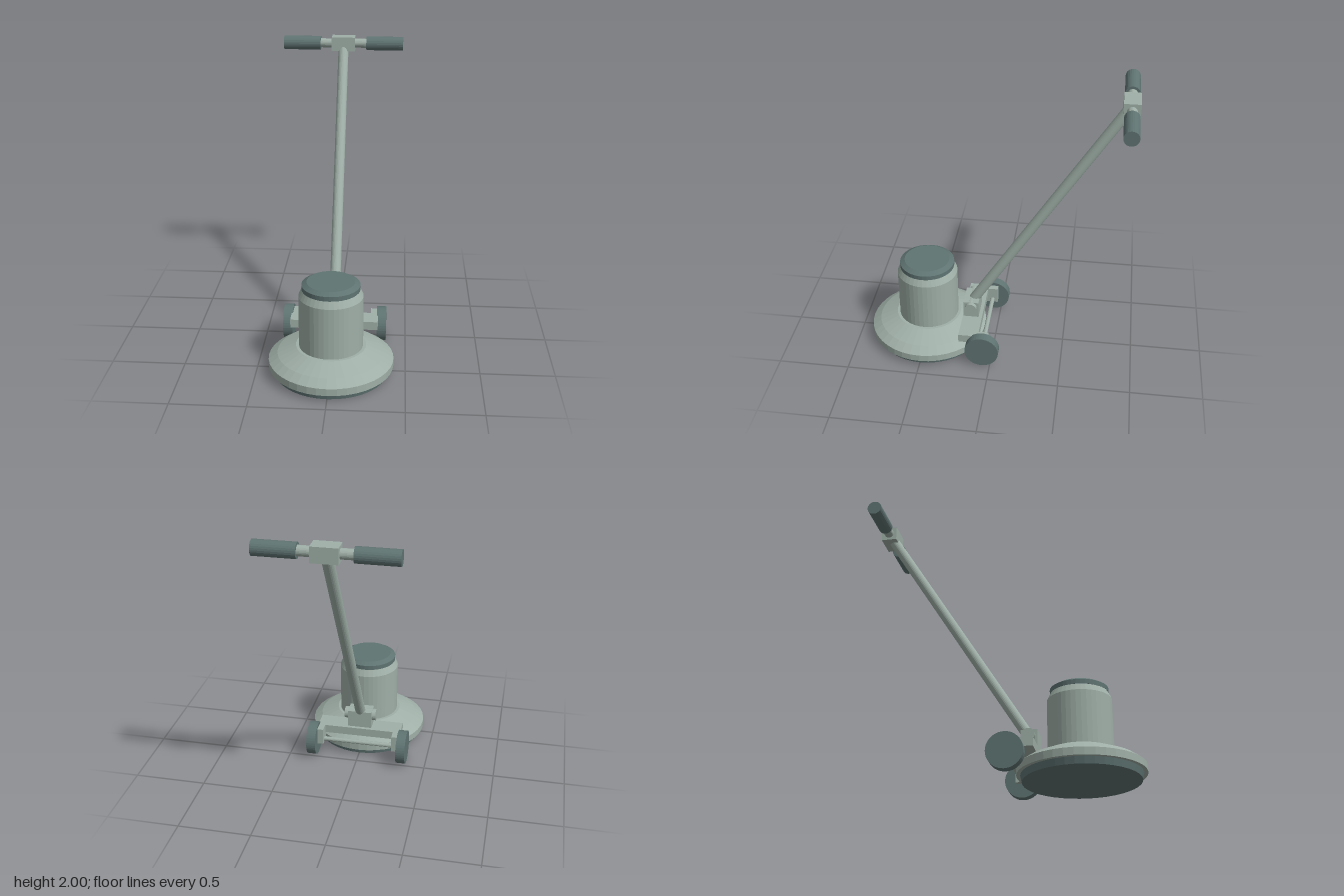
import * as THREE from 'three';

export function createModel() {
  const model = new THREE.Group();
  const shell = new THREE.MeshStandardMaterial({ color: 0x9fafa7 });
  shell.name = 'pale grey green';
  const rubber = new THREE.MeshStandardMaterial({ color: 0x5f7472 });
  rubber.name = 'dark slate green';

  // Adds a faceted mesh
  function add(name, geometry, material, x = 0, y = 0, z = 0) {
    const flat = geometry.index ? geometry.toNonIndexed() : geometry;
    flat.computeVertexNormals();
    const mesh = new THREE.Mesh(flat, material);
    mesh.name = name;
    mesh.position.set(x, y, z);
    model.add(mesh);
    return mesh;
  }
  const box = (name, mat, w, h, d, x, y, z) =>
    add(name, new THREE.BoxGeometry(w, h, d), mat, x, y, z);
  // Cylinder lying along x
  const rod = (name, mat, r, length, x, y, z, sides = 24) =>
    add(name, new THREE.CylinderGeometry(r, r, length, sides).rotateZ(Math.PI / 2), mat, x, y, z);
  // Turned part; profile runs from bottom to top
  const turned = (name, mat, profile, z) =>
    add(name, new THREE.LatheGeometry(profile.map(p => new THREE.Vector2(...p)), 40), mat, 0, 0, z);

  // Scrubbing head and motor
  const headZ = 0.495;
  turned('brushPad', rubber, [[0, 0], [0.385, 0], [0.395, 0.048], [0, 0.048]], headZ);
  turned('deckHousing', shell,
    [[0, 0.045], [0.42, 0.045], [0.42, 0.095], [0.36, 0.137], [0.235, 0.19], [0, 0.19]], headZ);
  turned('motorHousing', shell,
    [[0, 0.18], [0.215, 0.18], [0.215, 0.55], [0.19, 0.602], [0, 0.602]], headZ);
  turned('motorCap', rubber,
    [[0, 0.598], [0.194, 0.598], [0.194, 0.63], [0.16, 0.65], [0, 0.65]], headZ);

  // Rear carriage and pivot
  const axleY = 0.125, axleZ = 0.058;
  box('carriagePlate', shell, 0.61, 0.06, 0.14, 0, 0.19, 0.16);
  rod('axle', shell, 0.016, 0.6, 0, axleY, axleZ, 16);
  box('pivotBlock', shell, 0.175, 0.185, 0.11, 0, 0.2525, 0.17);
  rod('pivotPin', shell, 0.042, 0.23, 0, 0.305, 0.17);

  // Handle pole from pivot to grip block
  const foot = new THREE.Vector3(0, 0.305, 0.17);
  const top = new THREE.Vector3(0, 1.95, -0.86);
  const along = top.clone().sub(foot);
  const pole = add('handlePole', new THREE.CylinderGeometry(0.037, 0.037, along.length(), 24), shell);
  pole.position.copy(foot).add(top).multiplyScalar(0.5);
  pole.quaternion.setFromUnitVectors(new THREE.Vector3(0, 1, 0), along.normalize());
  box('handleBlock', shell, 0.17, 0.1, 0.11, 0, 1.95, -0.86);
  rod('handleBar', shell, 0.033, 0.5, 0, 1.95, -0.86);

  // Mirrored wheels, arms and grips
  for (const [side, s] of [['left', 1], ['right', -1]]) {
    box(side + 'AxleArm', shell, 0.045, 0.12, 0.09, s * 0.275, 0.16, 0.063);
    rod(side + 'Wheel', rubber, 0.12, 0.066, s * 0.329, axleY, axleZ, 40);
    rod(side + 'Grip', rubber, 0.05, 0.27, s * 0.303, 1.95, -0.86);
  }
  return model;
}
